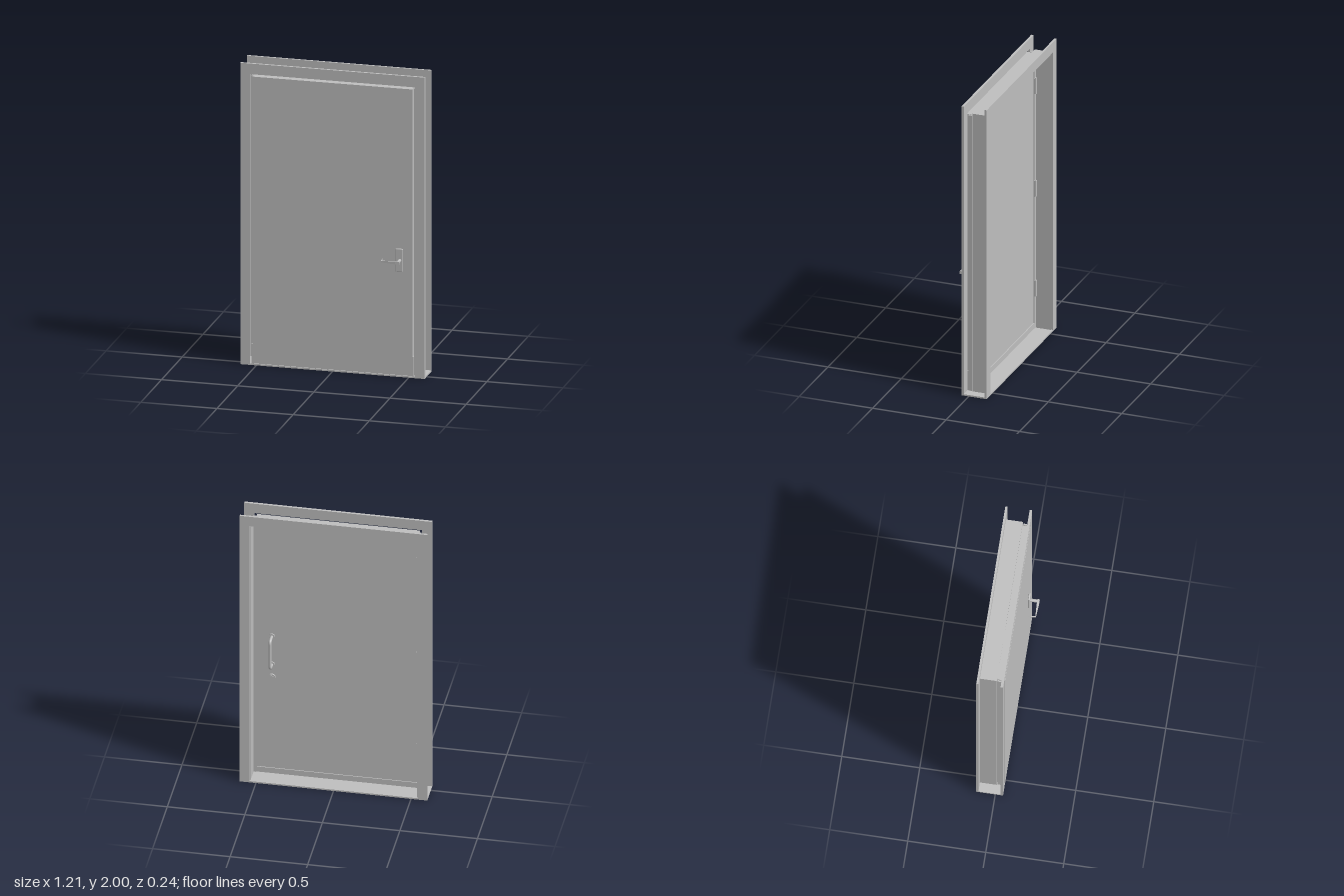
import * as THREE from 'three';
import { RoundedBoxGeometry } from 'three/addons/geometries/RoundedBoxGeometry.js';

const steel = new THREE.MeshStandardMaterial({ color: 0xbfbfbf });
steel.name = 'grey steel';

function add(parent, name, geometry, x = 0, y = 0, z = 0) {
  const mesh = new THREE.Mesh(geometry, steel);
  mesh.name = name;
  mesh.position.set(x, y, z);
  parent.add(mesh);
  return mesh;
}

// Box given by its limits on each axis
function block(parent, name, [x0, x1], [y0, y1], [z0, z1]) {
  return add(parent, name, new THREE.BoxGeometry(x1 - x0, y1 - y0, z1 - z0),
    (x0 + x1) / 2, (y0 + y1) / 2, (z0 + z1) / 2);
}

// Two legs and a header, open at the bottom
function portal(parent, name, outerX, outerY, innerX, innerY, z0, z1) {
  const shape = new THREE.Shape([
    [-outerX, 0], [-innerX, 0], [-innerX, innerY], [innerX, innerY],
    [innerX, 0], [outerX, 0], [outerX, outerY], [-outerX, outerY],
  ].map(([x, y]) => new THREE.Vector2(x, y)));
  const geometry = new THREE.ExtrudeGeometry(shape, { depth: z1 - z0, bevelEnabled: false });
  return add(parent, name, geometry, 0, 0, z0);
}

// Disc facing along z
function disc(parent, name, radius, depth, x, y, z) {
  return add(parent, name, new THREE.CylinderGeometry(radius, radius, depth, 32).rotateX(Math.PI / 2), x, y, z);
}

function buildFrame() {
  const frame = new THREE.Group();
  frame.name = 'frame';
  portal(frame, 'frontCasing', 0.605, 2, 0.542, 1.93, 0.034, 0.05);
  portal(frame, 'backCasing', 0.605, 2, 0.542, 1.93, -0.122, -0.108);
  portal(frame, 'jambLining', 0.543, 1.932, 0.537, 1.926, -0.11, 0);
  portal(frame, 'doorStop', 0.54, 1.929, 0.518, 1.908, -0.008, -0.001);
  block(frame, 'threshold', [-0.605, 0.605], [0, 0.01], [-0.122, 0.05]);
  for (const side of [-1, 1]) {
    block(frame, 'sideSeal', [side * 0.534 - 0.005, side * 0.534 + 0.005], [0.01, 1.915], [0.004, 0.028]);
    block(frame, 'cornerPad', [side * 0.528 - 0.003, side * 0.528 + 0.003], [0.01, 0.14], [0.005, 0.048]);
  }
  return frame;
}

function buildLever() {
  const lever = new THREE.Group();
  lever.name = 'leverHandle';
  add(lever, 'leverPlate', new RoundedBoxGeometry(0.05, 0.154, 0.012, 3, 0.005), 0.441, 0.777, 0.057);
  disc(lever, 'leverSpindle', 0.0105, 0.062, 0.445, 0.777, 0.091);
  // Tapered arm with a return at its tip, outlined in plan
  const plan = new THREE.Shape([
    [0.455, 0.122], [0.455, 0.107], [0.43, 0.107], [0.341, 0.111],
    [0.334, 0.065], [0.331, 0.065], [0.335, 0.115], [0.43, 0.122],
  ].map(([x, z]) => new THREE.Vector2(x, -z)));
  const arm = new THREE.ExtrudeGeometry(plan, { depth: 0.02, bevelEnabled: false });
  arm.rotateX(-Math.PI / 2).translate(0, -0.01, 0);
  const p = arm.attributes.position;
  for (let i = 0; i < p.count; i++) {
    const t = THREE.MathUtils.clamp((p.getX(i) - 0.335) / 0.11, 0, 1);
    p.setY(i, p.getY(i) * (0.5 + 0.5 * t));
  }
  arm.computeVertexNormals();
  add(lever, 'leverArm', arm, 0, 0.777, 0);
  return lever;
}

function buildPull() {
  const pull = new THREE.Group();
  pull.name = 'pullHandle';
  const x = 0.42, low = 0.83, high = 1.04, reach = -0.066, bend = 0.025;
  const v = (y, z) => new THREE.Vector3(x, y, z);
  // Straight legs and grip joined by rounded corners
  const path = new THREE.CurvePath();
  path.add(new THREE.LineCurve3(v(low, 0), v(low, reach + bend)));
  path.add(new THREE.QuadraticBezierCurve3(v(low, reach + bend), v(low, reach), v(low + bend, reach)));
  path.add(new THREE.LineCurve3(v(low + bend, reach), v(high - bend, reach)));
  path.add(new THREE.QuadraticBezierCurve3(v(high - bend, reach), v(high, reach), v(high, reach + bend)));
  path.add(new THREE.LineCurve3(v(high, reach + bend), v(high, 0)));
  add(pull, 'pullBar', new THREE.TubeGeometry(path, 64, 0.0095, 16, false));
  for (const y of [low, high]) disc(pull, 'pullRose', 0.019, 0.008, x, y, -0.004);
  return pull;
}

export function createModel() {
  const model = new THREE.Group();
  model.name = 'door';
  model.add(buildFrame());

  // Door leaf and bottom sweep
  block(model, 'doorLeaf', [-0.525, 0.525], [0.013, 1.915], [0, 0.051]);
  block(model, 'doorSweep', [-0.516, 0.516], [0.012, 0.05], [-0.006, 0.001]);

  model.add(buildLever(), buildPull());

  // Lock cylinder below the pull handle
  disc(model, 'lockRose', 0.023, 0.01, 0.42, 0.735, -0.005);
  disc(model, 'lockCore', 0.013, 0.006, 0.42, 0.735, -0.012);

  // Hinges on the back edge
  for (const y of [0.29, 0.98, 1.69]) {
    block(model, 'hingeLeaf', [-0.536, -0.514], [y - 0.055, y + 0.055], [-0.011, -0.002]);
    add(model, 'hingePin', new THREE.CylinderGeometry(0.007, 0.007, 0.11, 16), -0.525, y, -0.012);
  }
  return model;
}
